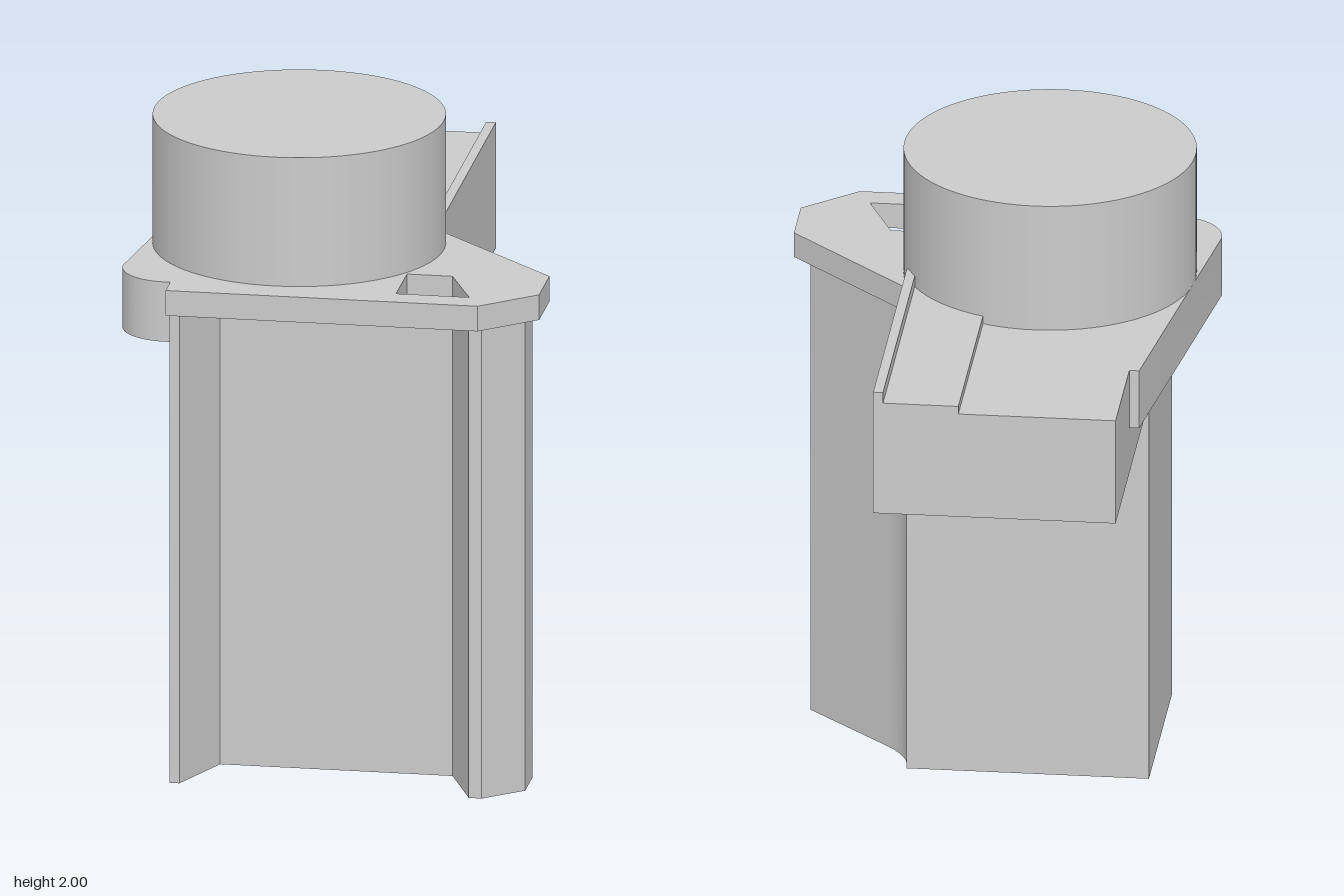
import * as THREE from 'three';
import { toCreasedNormals } from 'three/addons/utils/BufferGeometryUtils.js';

const material = new THREE.MeshStandardMaterial({ color: 0xcccccc });

function addMesh(group, name, geometry) {
  const mesh = new THREE.Mesh(geometry, material);
  mesh.name = name;
  group.add(mesh);
  return mesh;
}

// Plan outlines are drawn with (x, -z) so they can be stood up along y.
const outline = (points) => points.map(([x, z]) => new THREE.Vector2(x, -z));

function extrudeUp(shape, y0, y1) {
  const g = new THREE.ExtrudeGeometry(shape, { depth: y1 - y0, bevelEnabled: false, curveSegments: 16 });
  g.rotateX(-Math.PI / 2).translate(0, y0, 0);
  return toCreasedNormals(g, 0.5);
}

export function createModel() {
  const group = new THREE.Group();
  group.name = 'bracket';

  // Column: channel section with a recessed front and a swept wing on the +x side
  const column = new THREE.Shape();
  column.moveTo(-0.48, -0.11);
  column.lineTo(-0.48, -0.75);
  column.lineTo(-0.45, -0.75);
  column.lineTo(-0.36, -0.54);
  column.lineTo(0.355, -0.54);
  column.lineTo(0.44, -0.75);
  column.lineTo(0.48, -0.75);
  column.lineTo(0.597, -0.65);
  column.lineTo(0.597, -0.52);
  column.lineTo(0.34, -0.275);
  column.quadraticCurveTo(0.26, -0.2, 0.26, -0.11);
  addMesh(group, 'column', extrudeUp(column, 0, 1.53));

  // Top plate with a window over the recess
  const plate = new THREE.Shape(outline([
    [-0.48, 0.11], [-0.48, 0.825], [0.48, 0.825], [0.645, 0.68], [0.645, 0.49], [0.26, 0.11],
  ]));
  plate.holes.push(new THREE.Path(outline([
    [0.215, 0.54], [0.355, 0.54], [0.44, 0.74], [0.215, 0.74],
  ])));
  addMesh(group, 'topPlate', extrudeUp(plate, 1.51, 1.59));

  // Tapering side lug with a rounded front corner
  const lug = new THREE.Shape();
  lug.moveTo(-0.46, 0.44);
  lug.lineTo(-0.51, 0.44);
  lug.lineTo(-0.65, -0.59);
  lug.absarc(-0.5, -0.59, 0.15, Math.PI, Math.PI * 1.5, false);
  lug.lineTo(-0.46, -0.74);
  addMesh(group, 'sideLug', extrudeUp(lug, 1.4, 1.59));

  // Rear arm: stepped top and a thin raised lip along the +x edge
  const arm = new THREE.Shape([
    [-0.48, 1.25], [0.26, 1.25], [0.26, 1.65], [0.23, 1.65],
    [0.23, 1.615], [0, 1.615], [0, 1.59], [-0.48, 1.59],
  ].map(([x, y]) => new THREE.Vector2(x, y)));
  const armGeometry = new THREE.ExtrudeGeometry(arm, { depth: 0.94, bevelEnabled: false });
  addMesh(group, 'rearArm', armGeometry.translate(0, 0, -0.825));

  // Round boss on top
  const boss = addMesh(group, 'boss', new THREE.CylinderGeometry(0.445, 0.445, 0.41, 96));
  boss.position.set(-0.16, 1.795, 0.28);

  return group;
}
